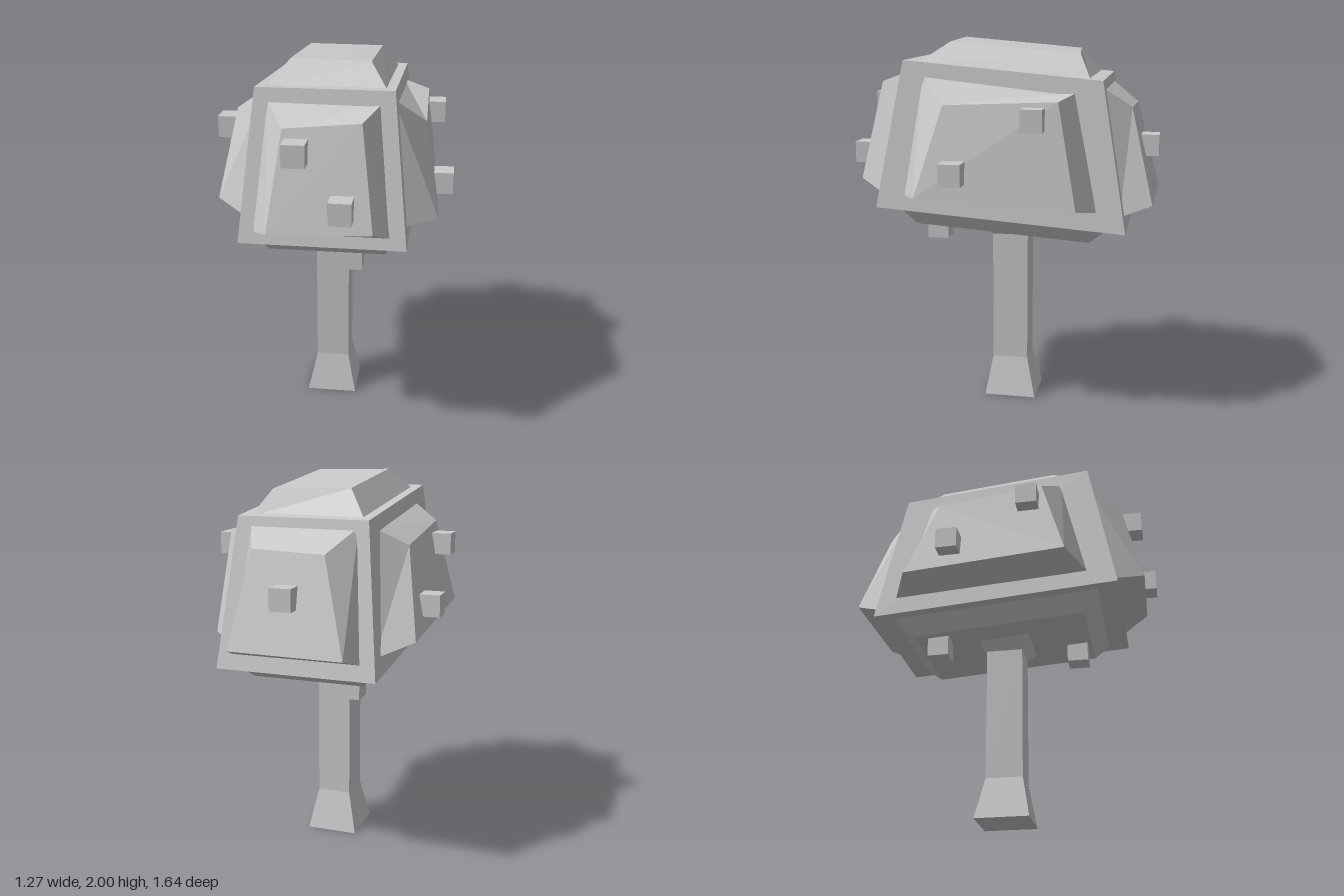
import * as THREE from 'three';

const material = new THREE.MeshStandardMaterial({ color: 0xcccccc, flatShading: true });

// Closed flat-shaded solid through a list of four-cornered rings
function loft(name, rings) {
  const pos = [];
  const quad = (a, b, c, d) => pos.push(a, b, c, a, c, d);
  const last = rings[rings.length - 1];
  quad(...rings[0].slice().reverse());
  quad(...last);
  for (let r = 0; r < rings.length - 1; r++) {
    for (let i = 0; i < 4; i++) {
      const j = (i + 1) % 4;
      quad(rings[r][i], rings[r][j], rings[r + 1][j], rings[r + 1][i]);
    }
  }
  // Turn the faces outward if the rings run clockwise
  const v = pos.map((p) => new THREE.Vector3(...p));
  const o = v[0].clone();
  let volume = 0;
  for (let i = 0; i < v.length; i += 3) {
    const [a, b, c] = [0, 1, 2].map((k) => v[i + k].clone().sub(o));
    volume += a.dot(b.cross(c));
  }
  if (volume < 0) v.reverse();
  const geometry = new THREE.BufferGeometry().setFromPoints(v);
  geometry.computeVertexNormals();
  const mesh = new THREE.Mesh(geometry, material);
  mesh.name = name;
  return mesh;
}

// Bevelled slab on a crown face; its sides run on a little way into the crown
function panel(name, base, cap) {
  const sunk = base.map((p, i) => p.map((c, k) => c + (c - cap[i][k]) * 0.15));
  return loft(name, [sunk, cap]);
}

// Horizontal rectangle
const rect = (y, x0, x1, z0, z1) => [[x0, y, z1], [x1, y, z1], [x1, y, z0], [x0, y, z0]];

// Rectangle symmetric in x whose height differs from front to back
const slope = (x, zf, yf, zb, yb) => [[-x, yf, zf], [x, yf, zf], [x, yb, zb], [-x, yb, zb]];

export function createModel() {
  const tree = new THREE.Group();
  tree.name = 'tree';

  // Trunk with flared foot and top
  tree.add(loft('trunk', [
    rect(0, -0.155, 0.12, -0.17, 0.115),
    rect(0.22, -0.105, 0.075, -0.12, 0.075),
    rect(0.94, -0.105, 0.075, -0.12, 0.075),
    rect(1.02, -0.155, 0.15, -0.17, 0.12),
  ]));

  // Crown core, leaning back
  tree.add(loft('crown', [
    slope(0.42, 0.63, 1.14, -0.675, 1.05),
    slope(0.34, 0.49, 1.9, -0.54, 1.81),
  ]));

  // Foliage slabs on the six faces
  tree.add(panel('topFoliage',
    slope(0.29, 0.41, 1.893, -0.47, 1.816),
    [[-0.195, 2, 0.28], [0.205, 1.99, 0.27], [0.205, 1.935, -0.41], [-0.195, 1.945, -0.37]]));
  tree.add(panel('bottomFoliage',
    slope(0.36, 0.52, 1.132, -0.58, 1.057),
    slope(0.3, 0.44, 1.035, -0.48, 0.97)));
  tree.add(panel('frontFoliage',
    [[-0.34, 1.2, 0.619], [0.335, 1.2, 0.619], [0.27, 1.83, 0.503], [-0.27, 1.83, 0.503]],
    [[-0.25, 1.25, 0.765], [0.265, 1.265, 0.755], [0.2, 1.78, 0.645], [-0.18, 1.745, 0.65]]));
  tree.add(panel('backFoliage',
    [[-0.335, 1.13, -0.66], [0.335, 1.13, -0.66], [0.265, 1.76, -0.55], [-0.27, 1.76, -0.55]],
    [[-0.3, 1.18, -0.81], [0.3, 1.18, -0.8], [0.21, 1.67, -0.68], [-0.17, 1.66, -0.69]]));
  tree.add(panel('leftFoliage',
    [[0.412, 1.21, 0.475], [0.408, 1.155, -0.525], [0.348, 1.745, -0.4], [0.348, 1.815, 0.37]],
    [[0.565, 1.225, 0.385], [0.53, 1.18, -0.435], [0.475, 1.715, -0.335], [0.485, 1.69, 0.245]]));
  tree.add(panel('rightFoliage',
    [[-0.411, 1.22, 0.47], [-0.408, 1.155, -0.56], [-0.348, 1.745, -0.39], [-0.348, 1.81, 0.33]],
    [[-0.57, 1.28, 0.375], [-0.565, 1.22, -0.48], [-0.48, 1.67, -0.315], [-0.48, 1.73, 0.25]]));

  // Cube fruits half buried in the slabs
  const fruitGeometry = new THREE.BoxGeometry(0.113, 0.113, 0.113);
  const fruits = new THREE.Group();
  fruits.name = 'fruits';
  [
    [-0.11, 1.645, 0.71], [0.115, 1.39, 0.765], [0.01, 1.455, -0.76],
    [-0.535, 1.62, 0.18], [-0.58, 1.365, -0.235],
    [0.515, 1.63, -0.215], [0.575, 1.36, 0.18],
    [0.125, 0.985, 0.36], [-0.2, 0.93, -0.36],
  ].forEach((p) => {
    const fruit = new THREE.Mesh(fruitGeometry, material);
    fruit.name = 'fruit';
    fruit.position.set(...p);
    fruits.add(fruit);
  });
  tree.add(fruits);

  return tree;
}
